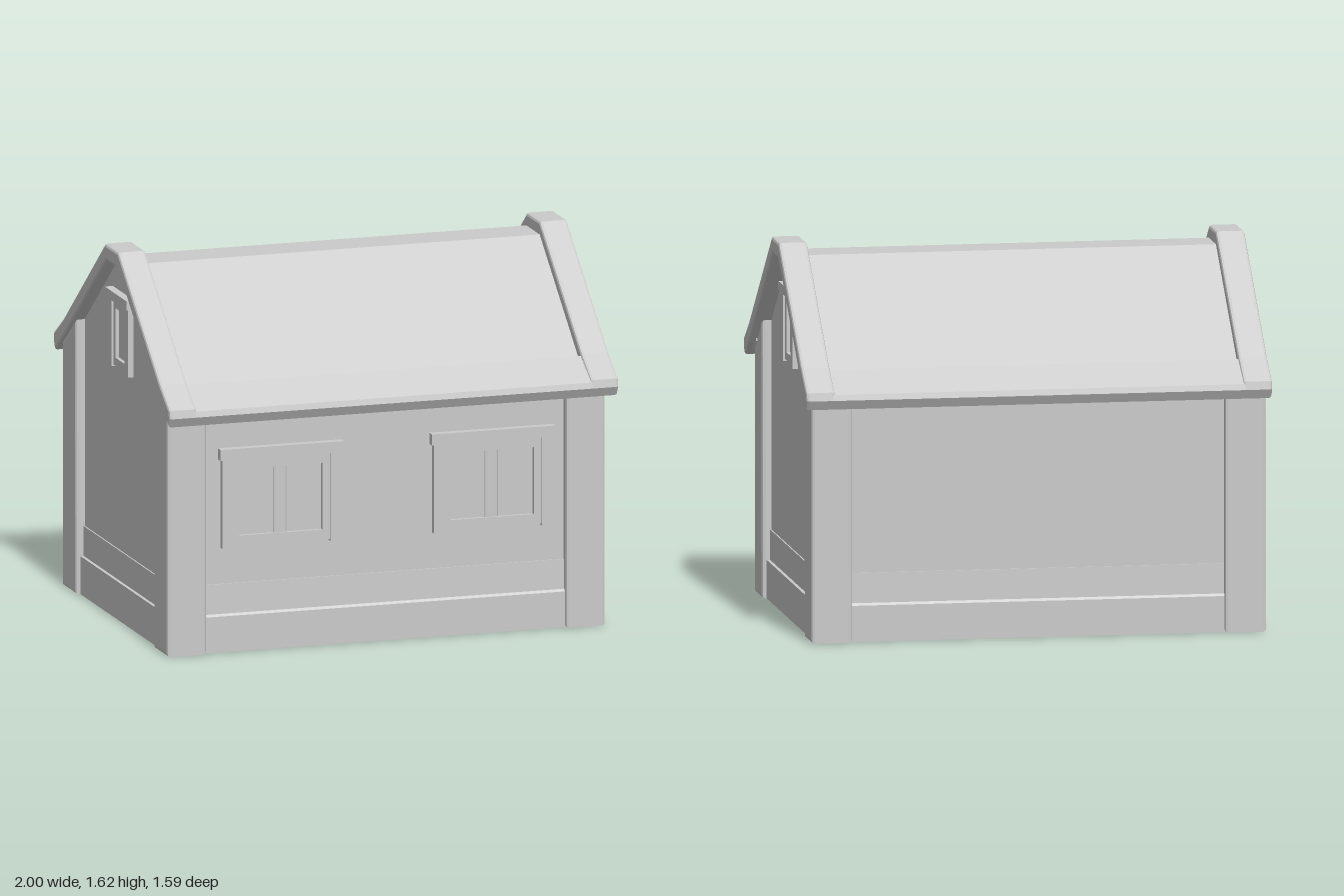
import * as THREE from 'three';

const material = new THREE.MeshStandardMaterial({ color: 0xcccccc, side: THREE.DoubleSide });

function add(parent, geometry, name) {
  const mesh = new THREE.Mesh(geometry, material);
  mesh.name = name;
  parent.add(mesh);
  return mesh;
}

// Extrudes a [z, y] outline along x, with rounded end edges
function extrudeX(points, x0, x1, bevel = 0) {
  const shape = new THREE.Shape(points.map(([z, y]) => new THREE.Vector2(-z, y)));
  const geometry = new THREE.ExtrudeGeometry(shape, {
    depth: x1 - x0 - 2 * bevel,
    bevelEnabled: bevel > 0,
    bevelSize: bevel,
    bevelThickness: bevel,
    bevelOffset: -bevel,
    bevelSegments: 2,
  });
  return geometry.rotateY(Math.PI / 2).translate(x0 + bevel, 0, 0);
}

// Box given by its limits
function block(x0, x1, y0, y1, z0, z1) {
  return new THREE.BoxGeometry(x1 - x0, y1 - y0, z1 - z0)
    .translate((x0 + x1) / 2, (y0 + y1) / 2, (z0 + z1) / 2);
}

const mirrorZ = (points) => points.map(([z, y]) => [-z, y]);
// Completes a symmetric outline from its +z half
const symmetric = (half) => [...half, ...mirrorZ(half).reverse()];

// Window facing +z, its back on z = 0; y = 0 is the foot of the jambs
function makeWindow(name, w, h, jamb, lintelH, paneW, paneY0, paneY1, mullion) {
  const group = new THREE.Group();
  group.name = name;
  const inner = w / 2 - jamb;
  for (const s of [-1, 1]) {
    const x = s * (w / 2 - jamb / 2);
    add(group, block(x - jamb / 2, x + jamb / 2, 0, h - lintelH, -0.01, 0.024), 'windowJamb');
  }
  add(group, block(-w / 2 - 0.012, w / 2 + 0.012, h - lintelH, h, -0.01, 0.036), 'windowLintel');

  const rect = (Type, x, y0, y1) => new Type([
    new THREE.Vector2(-x, y0), new THREE.Vector2(x, y0),
    new THREE.Vector2(x, y1), new THREE.Vector2(-x, y1),
  ]);
  const sash = rect(THREE.Shape, inner, 0.008, h - lintelH);
  sash.holes.push(rect(THREE.Path, paneW / 2, paneY0, paneY1));
  add(group, new THREE.ExtrudeGeometry(sash, { depth: 0.022, bevelEnabled: false })
    .translate(0, 0, -0.006), 'windowSash');
  if (mullion) {
    add(group, new THREE.CylinderGeometry(0.03, 0.03, paneY1 - paneY0, 16)
      .scale(1, 1, 0.3).translate(0, (paneY0 + paneY1) / 2, 0), 'windowMullion');
  }
  return group;
}

export function createModel() {
  const model = new THREE.Group();
  model.name = 'house';
  const body = new THREE.Group();
  body.name = 'body';
  body.position.x = -0.01;
  model.add(body);

  // Corner posts with tops cut to the roof slope
  const post = [[0.53, 0], [0.72, 0], [0.72, 1.06], [0.66, 1.1], [0.53, 1.195]];
  for (const sz of [1, -1]) {
    const outline = sz > 0 ? post : mirrorZ(post);
    add(body, extrudeX(outline, 0.8, 0.975, 0.014), 'cornerPost');
    add(body, extrudeX(outline, -0.975, -0.8, 0.014), 'cornerPost');
  }

  // Long walls with skirting boards
  for (const s of [1, -1]) {
    const outline = (points) => (s > 0 ? points : mirrorZ(points));
    add(body, extrudeX(outline([[0.65, 0.15], [0.68, 0.15], [0.68, 1.1], [0.65, 1.1]]), -0.85, 0.85), 'longWall');
    add(body, extrudeX(outline([[0.64, 0], [0.7, 0], [0.7, 0.155], [0.692, 0.165], [0.64, 0.165]]), -0.82, 0.82), 'plinth');
    add(body, extrudeX(outline([[0.66, 0.165], [0.691, 0.165], [0.686, 0.293], [0.66, 0.293]]), -0.82, 0.82), 'skirtingBand');
  }

  // Gable walls with skirting boards
  const gable = symmetric([[0.65, 0.15], [0.65, 1.11], [0.075, 1.565]]);
  for (const s of [1, -1]) {
    const slab = (inner, outer) => (s > 0 ? [inner, outer] : [-outer, -inner]);
    add(body, extrudeX(gable, ...slab(0.905, 0.935)), 'gableWall');
    add(body, block(...slab(0.895, 0.955), 0, 0.165, -0.55, 0.55), 'gablePlinth');
    add(body, block(...slab(0.91, 0.941), 0.165, 0.295, -0.55, 0.55), 'gableSkirtingBand');

    const attic = makeWindow('gableWindow', 0.27, 0.335, 0.043, 0.04, 0.124, 0.043, 0.258, false);
    attic.position.set(s * 0.935, 1.085, 0);
    attic.rotation.y = s * Math.PI / 2;
    body.add(attic);
  }

  // Front windows
  for (const x of [-0.4725, 0.4685]) {
    const front = makeWindow('frontWindow', 0.526, 0.433, 0.045, 0.048, 0.369, 0.051, 0.341, true);
    front.position.set(x + 0.01, 0.449, 0.68);
    body.add(front);
  }

  // Roof: sunken panel, raised gable rims and eaves
  const panel = symmetric([[0.68, 1.065], [0.68, 1.097], [0.09, 1.565]])
    .concat([[-0.08, 1.535], [0.08, 1.535]]);
  // Outline order: up the +z top, down the -z side, back along the underside
  add(model, extrudeX(panel, -0.9, 0.9), 'roofPanel');

  const rimTop = [[0.775, 1.01], [0.797, 1.05], [0.79, 1.085], [0.66, 1.17], [0.09, 1.62]];
  const rimUnder = [[-0.66, 1.09], [-0.075, 1.55], [0.075, 1.55], [0.66, 1.09]];
  const rim = symmetric(rimTop).concat(rimUnder);
  add(model, extrudeX(rim, 0.877, 1, 0.012), 'gableRim');
  add(model, extrudeX(rim, -1, -0.877, 0.012), 'gableRim');

  const eave = [[0.65, 1.085], [0.775, 1.01], [0.797, 1.05], [0.79, 1.075], [0.65, 1.16]];
  add(model, extrudeX(eave, -0.97, 0.97), 'eave');
  add(model, extrudeX(mirrorZ(eave), -0.97, 0.97), 'eave');

  return model;
}
